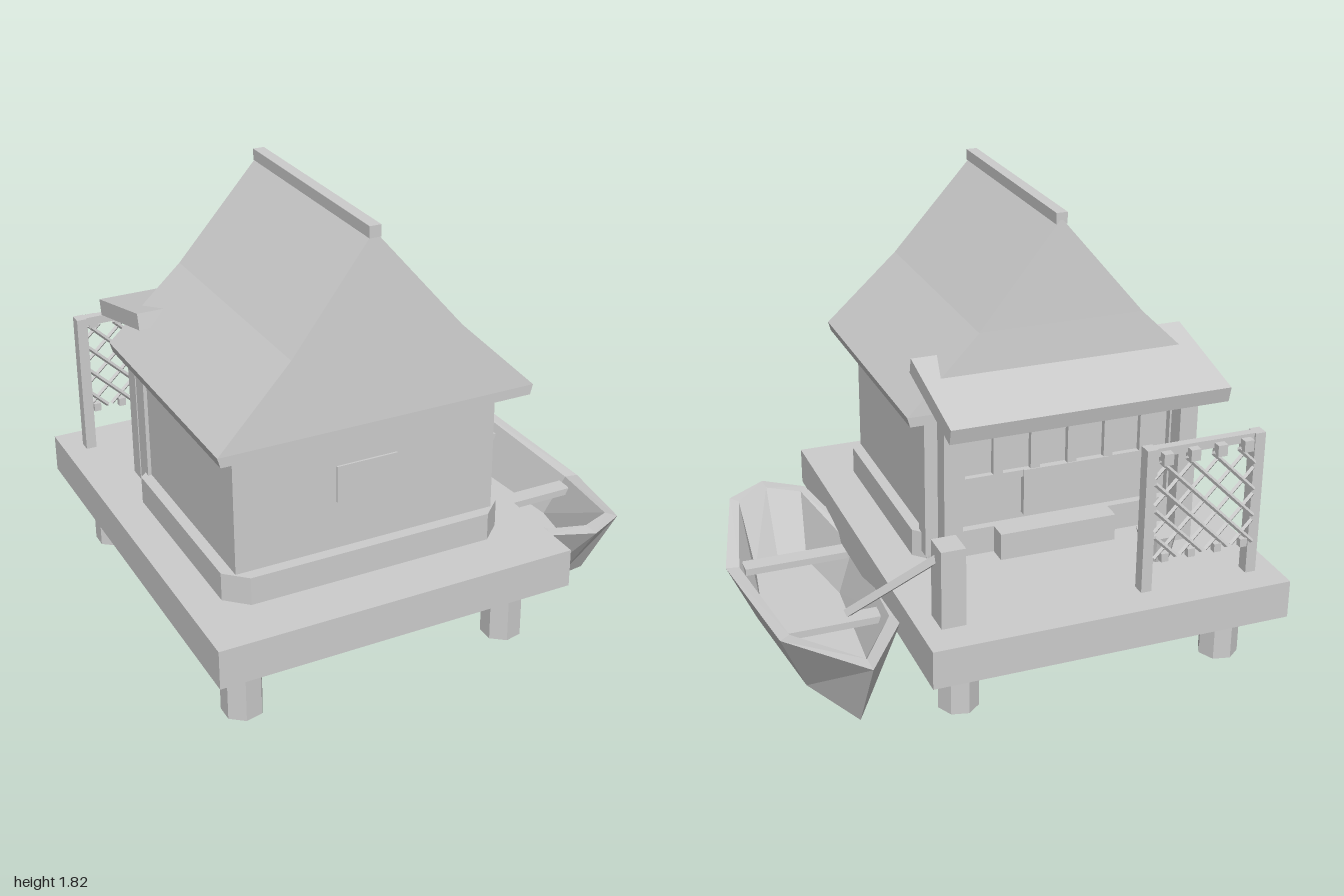
import * as THREE from 'three';

const clay = new THREE.MeshStandardMaterial({ color: 0xcccccc, flatShading: true, side: THREE.DoubleSide });
clay.name = 'plain grey';

export function createModel() {
  const model = new THREE.Group();
  model.name = 'stiltHut';

  const add = (name, geometry, parent = model) => {
    const mesh = new THREE.Mesh(geometry, clay);
    mesh.name = name;
    parent.add(mesh);
    return mesh;
  };
  // Box given by its extents
  const box = (name, x0, x1, y0, y1, z0, z1, parent = model) => {
    const mesh = add(name, new THREE.BoxGeometry(x1 - x0, y1 - y0, z1 - z0), parent);
    mesh.position.set((x0 + x1) / 2, (y0 + y1) / 2, (z0 + z1) / 2);
    return mesh;
  };
  // Square bar between two points
  const bar = (name, a, b, t, parent = model) => {
    const p = new THREE.Vector3(...a), q = new THREE.Vector3(...b);
    const mesh = add(name, new THREE.BoxGeometry(t, t, p.distanceTo(q)), parent);
    mesh.position.copy(p).add(q).multiplyScalar(0.5);
    mesh.quaternion.setFromUnitVectors(new THREE.Vector3(0, 0, 1), q.sub(p).normalize());
    return mesh;
  };
  // Skin through equal rings, each counterclockwise from above, with a top and an optional bottom
  const loft = (rings, bottom = true) => {
    const n = rings[0].length, last = (rings.length - 1) * n, index = [];
    for (let i = 0; i < rings.length - 1; i++) {
      for (let j = 0; j < n; j++) {
        const a = i * n + j, b = i * n + (j + 1) % n;
        index.push(a, b, b + n, a, b + n, a + n);
      }
    }
    for (let j = 1; j < n - 1; j++) {
      if (bottom) index.push(0, j + 1, j);
      index.push(last, last + j, last + j + 1);
    }
    const g = new THREE.BufferGeometry();
    g.setAttribute('position', new THREE.Float32BufferAttribute(rings.flat(2), 3));
    g.setIndex(index);
    const flat = g.toNonIndexed();
    flat.computeVertexNormals();
    return flat;
  };
  const rect = (y, x0, x1, z0, z1) => [[x1, y, z1], [x1, y, z0], [x0, y, z0], [x0, y, z1]];

  // Deck, hollow underneath, on seven-sided open stilts
  add('deck', loft([rect(0.26, -1, 0.482, -0.917, 0.914), rect(0.42, -1, 0.482, -0.917, 0.914)], false));
  for (const x of [-0.838, 0.295]) {
    for (const z of [-0.667, 0.727]) {
      const g = new THREE.CylinderGeometry(0.082, 0.082, 0.418, 7, 1, true, Math.PI / 2);
      add('stilt', g).position.set(x, 0.209, z);
    }
  }

  // Plinth with four chamfered corners
  const outline = [
    [0.32, 0.615], [0.32, -0.2], [0.235, -0.285], [-0.775, -0.285],
    [-0.86, -0.2], [-0.86, 0.615], [-0.775, 0.695], [0.235, 0.695],
  ];
  add('plinth', loft([0.42, 0.535].map((y) => outline.map(([x, z]) => [x, y, z]))));

  // Walls, front shutter and rear corner posts
  box('walls', -0.815, 0.275, 0.42, 1.08, -0.25, 0.648);
  box('shutter', -0.4, -0.148, 0.732, 0.883, 0.648, 0.656);
  for (const x of [-0.8, 0.26]) box('cornerPost', x - 0.03, x + 0.03, 0.45, 1.08, -0.28, -0.2);

  // Barred opening and step at the back
  box('lintel', -0.72, 0.2, 0.93, 0.985, -0.295, -0.25);
  box('sill', -0.72, 0.2, 0.73, 0.76, -0.275, -0.25);
  for (let i = 0; i < 6; i++) {
    const x = -0.66 + i * 0.16;
    box('windowBar', x - 0.02, x + 0.02, 0.76, 0.93, -0.275, -0.25);
  }
  box('lowerPanel', -0.5, -0.13, 0.56, 0.76, -0.28, -0.25);
  box('step', -0.5, 0, 0.42, 0.535, -0.365, -0.285);

  // Flared main roof, open underneath, and ridge beam
  const roofRing = (y, half, z0, z1) => rect(y, -0.268 - half, -0.268 + half, z0, z1);
  add('mainRoof', loft([
    roofRing(1.05, 0.632, -0.335, 0.752),
    roofRing(1.09, 0.643, -0.335, 0.752),
    roofRing(1.385, 0.342, -0.308, 0.722),
    roofRing(1.785, 0.006, -0.28, 0.685),
  ], false));
  box('ridgeBeam', -0.292, -0.246, 1.77, 1.815, -0.28, 0.695);

  // Sloping porch roof on two posts
  const porch = add('porchRoof', new THREE.BoxGeometry(1.15, 0.066, 0.467));
  porch.position.set(-0.27, 1.176, -0.394);
  porch.rotation.x = -0.237;
  for (const x of [-0.76, 0.235]) box('porchPost', x - 0.038, x + 0.038, 0.42, 1.17, -0.46, -0.385);

  // Drying rack with a wide-meshed hanging net
  for (const x of [-0.89, -0.435]) box('rackPost', x - 0.022, x + 0.022, 0.42, 1.025, -0.795, -0.742);
  box('rackRail', -0.9, -0.42, 0.99, 1.025, -0.787, -0.752);
  const net = new THREE.Group();
  net.name = 'net';
  net.position.set(-0.87, 0.575, -0.82);
  net.rotation.x = 0.07;
  model.add(net);
  const w = 0.42, h = 0.4;
  for (let c = -0.33; c < h; c += 0.11) {
    const u0 = Math.max(0, -c), u1 = Math.min(w, h - c);
    bar('netStrand', [u0, u0 + c, 0], [u1, u1 + c, 0], 0.013, net);
    bar('netStrand', [w - u0, u0 + c, 0.006], [w - u1, u1 + c, 0.006], 0.013, net);
  }
  for (let i = 0; i < 4; i++) {
    const x = -0.83 + i * 0.113;
    box('netClip', x - 0.02, x + 0.02, 0.965, 1.012, -0.82, -0.775);
    box('netWeight', x - 0.015, x + 0.015, 0.56, 0.595, -0.828, -0.8);
  }

  // Basket with a stick on the deck
  add('basket', new THREE.CylinderGeometry(0.085, 0.06, 0.115, 7)).position.set(-0.6, 0.478, -0.543);
  box('stick', -0.606, -0.594, 0.5, 0.63, -0.526, -0.514);

  // Mooring post and rope
  box('mooringPost', 0.302, 0.4, 0.42, 0.745, -0.78, -0.667);
  bar('mooringRope', [0.38, 0.69, -0.71], [0.675, 0.38, -0.475], 0.03);

  // Rowing boat: outer bottom, outer rim, inner rim, floor
  const boatRing = (half) => {
    const at = (s) => ([x, y, z]) => [0.7 + s * x, y, z];
    return [...half.map(at(-1)), ...half.slice(1, -1).reverse().map(at(1))];
  };
  add('boatHull', loft([
    [[0, 0.04, -0.7], [0.13, 0.04, -0.4], [0.19, 0.04, 0.16], [0.115, 0.04, 0.535], [0, 0.04, 0.55]],
    [[0, 0.378, -0.89], [0.245, 0.315, -0.48], [0.3, 0.275, 0.21], [0.17, 0.35, 0.685], [0, 0.363, 0.778]],
    [[0, 0.378, -0.81], [0.2, 0.315, -0.45], [0.245, 0.275, 0.2], [0.14, 0.35, 0.64], [0, 0.363, 0.705]],
    [[0, 0.09, -0.65], [0.125, 0.09, -0.37], [0.17, 0.09, 0.16], [0.115, 0.09, 0.49], [0, 0.09, 0.55]],
  ].map(boatRing)));
  box('thwart', 0.505, 0.895, 0.24, 0.27, -0.37, -0.295);
  box('thwart', 0.48, 0.92, 0.23, 0.26, 0.195, 0.27);

  return model;
}
